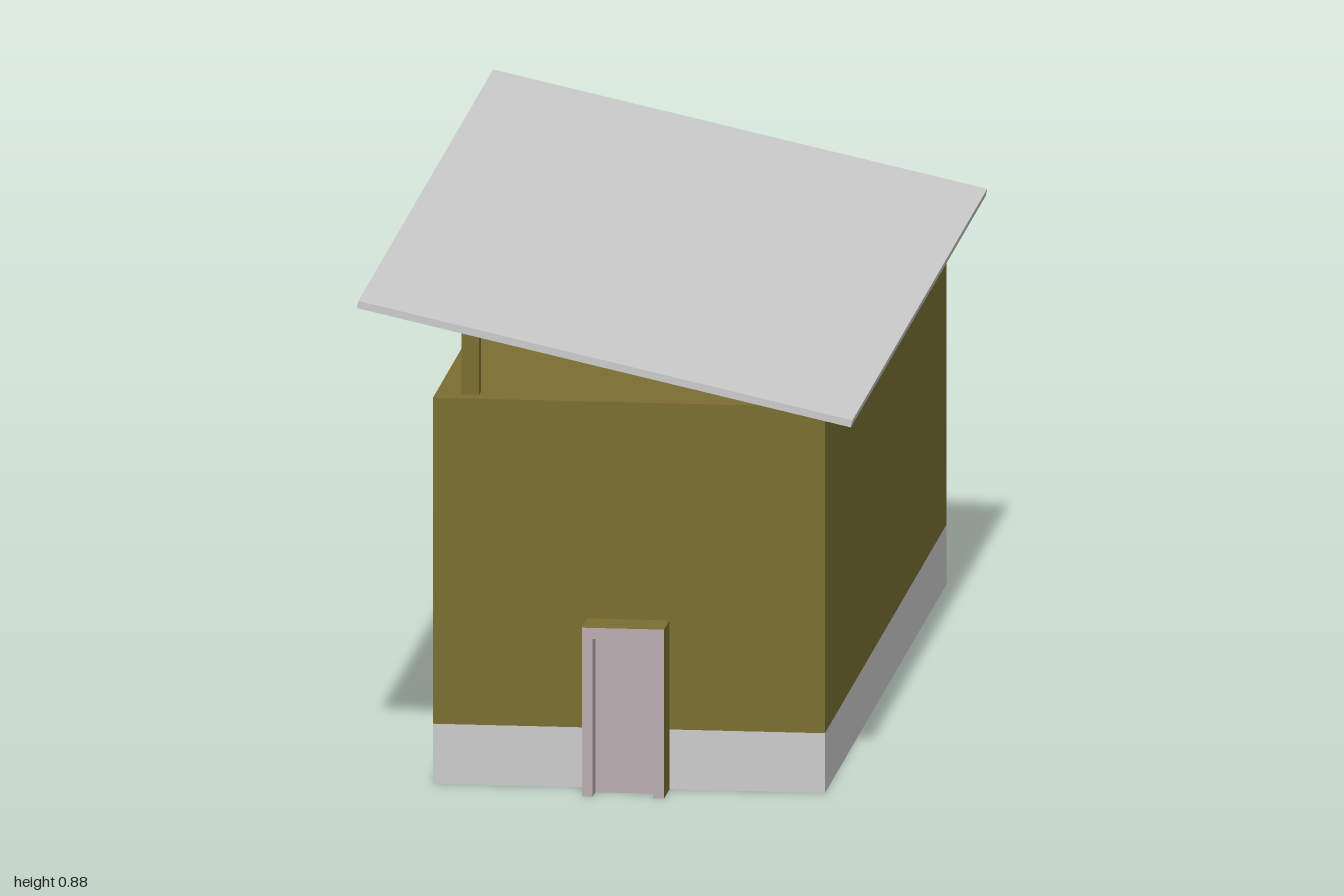
import * as THREE from 'three';

const material = (color) =>
  new THREE.MeshStandardMaterial({ color, side: THREE.DoubleSide });
const GREY = material(0xcccccc);
const OCHRE = material(0x7b6f32);
const DOOR = material(0xbbadb3);

// Plan of the shell and of the entrance porch
const X0 = -0.312, X1 = 0.379, Z0 = -0.88, Z1 = 0.92;
const BASE = 0.107, TOP = 0.69;
const PX0 = -0.04, PX1 = 0.105, PZ = 1, PH = 0.302;
const DX0 = -0.021, DX1 = 0.085, DZ = 0.96, DH = 0.282;

function add(parent, name, geometry, mat) {
  const mesh = new THREE.Mesh(geometry, mat);
  mesh.name = name;
  parent.add(mesh);
  return mesh;
}

// Thin upright walls along a plan path of [x, z] points, outside on the right-hand side
function wallGeometry(path, y0, y1) {
  const pos = [];
  for (let i = 0; i < path.length - 1; i++) {
    const [ax, az] = path[i], [bx, bz] = path[i + 1];
    pos.push(ax, y0, az, bx, y0, bz, bx, y1, bz);
    pos.push(ax, y0, az, bx, y1, bz, ax, y1, az);
  }
  const g = new THREE.BufferGeometry();
  g.setAttribute('position', new THREE.Float32BufferAttribute(pos, 3));
  g.computeVertexNormals();
  return g;
}

// Thin level panel facing up or down
function levelGeometry(x0, x1, z0, z1, y, up = true) {
  const g = new THREE.PlaneGeometry(x1 - x0, z1 - z0);
  g.rotateX(up ? -Math.PI / 2 : Math.PI / 2);
  return g.translate((x0 + x1) / 2, y, (z0 + z1) / 2);
}

export function createModel() {
  const model = new THREE.Group();
  model.name = 'shed';

  // Hollow shell, open below, with a doorway gap in the front wall
  const corners = [[X1, Z1], [X1, Z0], [X0, Z0], [X0, Z1]];
  const gapped = [[PX1, Z1], ...corners, [PX0, Z1]];
  const closed = [...corners, corners[0]];
  add(model, 'baseBand', wallGeometry(gapped, 0, BASE), GREY);
  add(model, 'lowerWalls', wallGeometry(gapped, BASE, PH), OCHRE);
  add(model, 'upperWalls', wallGeometry(closed, PH, TOP), OCHRE);
  add(model, 'ceiling', levelGeometry(X0, X1, Z0, Z1, TOP), OCHRE);

  // Porch projecting from the doorway
  const porch = new THREE.Group();
  porch.name = 'porch';
  model.add(porch);
  add(porch, 'porchLeftSide', wallGeometry([[PX1, PZ], [PX1, Z1]], 0, PH), OCHRE);
  add(porch, 'porchRightSide', wallGeometry([[PX0, Z1], [PX0, PZ]], 0, PH), OCHRE);
  add(porch, 'porchTop', levelGeometry(PX0, PX1, Z1, PZ, PH), OCHRE);

  // Door frame face, then the recessed door with its reveals
  const frame = new THREE.Shape([
    [PX0, 0], [DX0, 0], [DX0, DH], [DX1, DH], [DX1, 0], [PX1, 0], [PX1, PH], [PX0, PH],
  ].map(([x, y]) => new THREE.Vector2(x, y)));
  add(porch, 'doorFrame', new THREE.ShapeGeometry(frame).translate(0, 0, PZ), DOOR);
  const recess = [[DX0, PZ], [DX0, DZ], [DX1, DZ], [DX1, PZ]];
  add(porch, 'door', wallGeometry(recess, 0, DH), DOOR);
  add(porch, 'doorHead', levelGeometry(DX0, DX1, DZ, PZ, DH, false), DOOR);

  // Sloping roof slab
  const slope = -0.217, roofY = 0.774;
  const roof = add(model, 'roof', new THREE.BoxGeometry(0.892, 0.013, 2), GREY);
  roof.position.y = roofY;
  roof.rotation.z = slope;

  // Posts under the high side of the roof
  const postX = -0.25;
  const postTop = roofY + Math.tan(slope) * postX;
  for (const [name, z] of [['frontPost', Z1 - 0.048], ['backPost', Z0 + 0.056]]) {
    const post = add(model, name, new THREE.BoxGeometry(0.031, postTop - TOP, 0.031), OCHRE);
    post.position.set(postX, (postTop + TOP) / 2, z);
  }
  return model;
}
